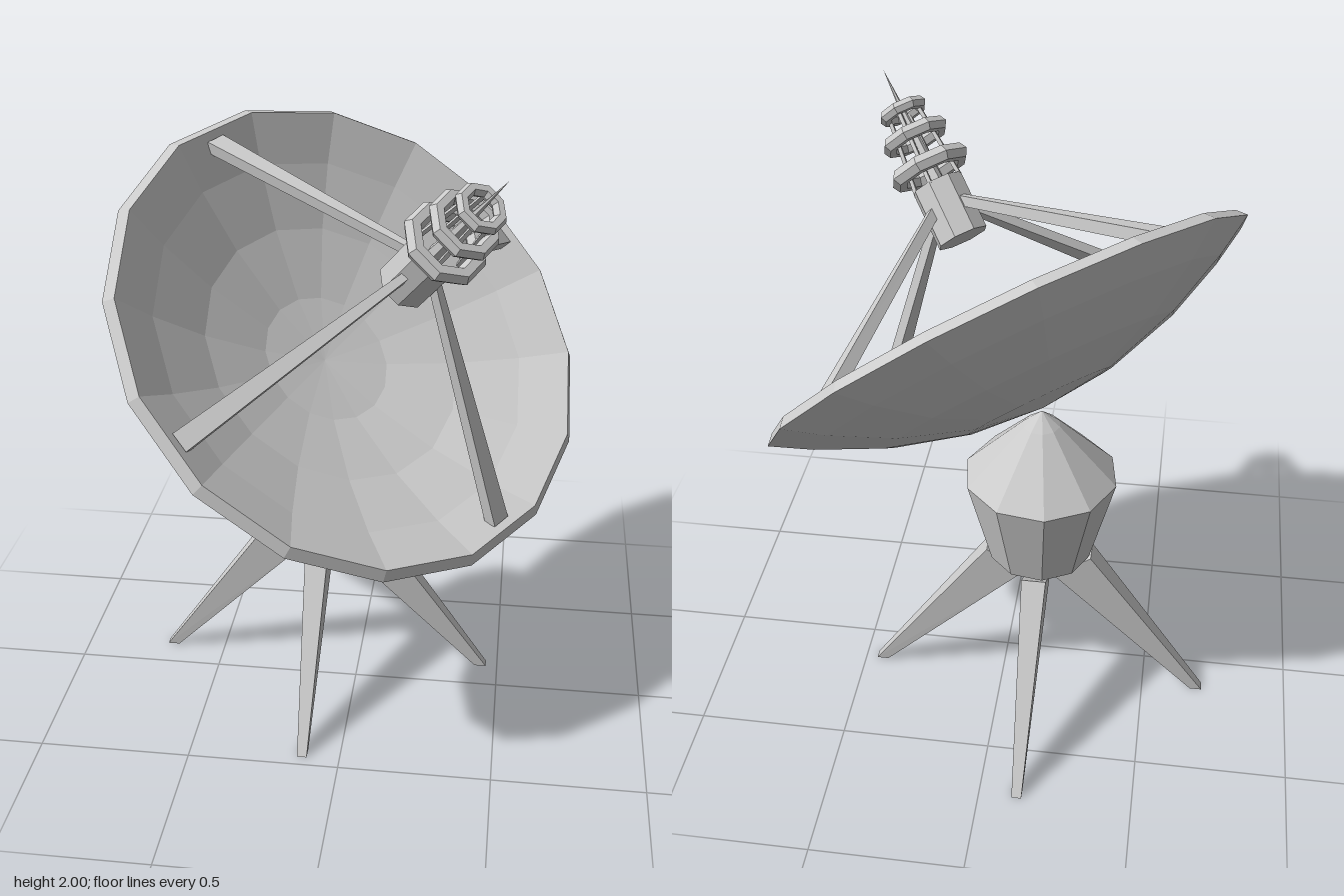
import * as THREE from 'three';

const material = new THREE.MeshStandardMaterial({ color: 0xcccccc, flatShading: true });

function add(parent, name, geometry) {
  const mesh = new THREE.Mesh(geometry, material);
  mesh.name = name;
  parent.add(mesh);
  return mesh;
}

function lathe(points, sides, start = 0) {
  return new THREE.LatheGeometry(points.map(([r, y]) => new THREE.Vector2(r, y)), sides, start);
}

// Tapered bar lying in the radial plane: each end gives its outer point, inner point and half width
function taperedBar(top, bottom) {
  const geometry = new THREE.BoxGeometry(1, 1, 1);
  const p = geometry.attributes.position;
  for (let i = 0; i < p.count; i++) {
    const end = p.getY(i) > 0 ? top : bottom;
    const [r, y] = p.getX(i) > 0 ? end.outer : end.inner;
    p.setXYZ(i, r, y, Math.sign(p.getZ(i)) * end.half);
  }
  geometry.computeVertexNormals();
  return geometry;
}

function createBase() {
  const base = new THREE.Group();
  base.name = 'base';
  base.position.set(-0.125, 0, -0.122);

  // Ten-sided housing with a conical top
  add(base, 'housing', lathe(
    [[0, 0.5], [0.05, 0.5], [0.17, 0.585], [0.25, 0.9], [0.06, 1.095], [0, 1.145]],
    10, Math.PI * 1.25));

  // Four splayed legs
  const leg = taperedBar(
    { outer: [0.175, 0.585], inner: [0.05, 0.5], half: 0.04 },
    { outer: [0.585, 0], inner: [0.545, 0], half: 0.016 });
  for (let i = 0; i < 4; i++) add(base, 'leg', leg).rotation.y = i * Math.PI / 2;
  return base;
}

function createFeed() {
  const feed = new THREE.Group();
  feed.name = 'feedAntenna';

  // Octagonal body
  const body = add(feed, 'feedBody', new THREE.CylinderGeometry(0.085, 0.085, 0.19, 8));
  body.position.y = 0.425;

  // Shrinking octagonal rings
  for (const [radius, tube, y] of [[0.108, 0.028, 0.577], [0.09, 0.024, 0.685], [0.062, 0.02, 0.775]]) {
    const ring = add(feed, 'feedRing', new THREE.TorusGeometry(radius, tube, 6, 8));
    ring.rotation.x = Math.PI / 2;
    ring.position.y = y;
  }

  // Thin rods carrying the rings
  for (let i = 0; i < 4; i++) {
    const rod = add(feed, 'ringRod', taperedBar(
      { outer: [0.056, 0.775], inner: [0.044, 0.775], half: 0.006 },
      { outer: [0.084, 0.515], inner: [0.072, 0.515], half: 0.006 }));
    rod.rotation.y = Math.PI / 4 + i * Math.PI / 2;
  }

  // Central spike
  const spike = add(feed, 'spike', new THREE.ConeGeometry(0.026, 0.423, 6));
  spike.position.y = 0.7115;
  return feed;
}

function createDish() {
  const dish = new THREE.Group();
  dish.name = 'dish';

  // Bowl: back, bevelled rim, then the inside
  const back = [0, 0.25, 0.5, 0.7, 0.822].map(r => [r, -0.26 + 0.25 * (r / 0.822) ** 2]);
  const inside = [0.795, 0.65, 0.45, 0.22, 0].map(r => [r, -0.235 + 0.255 * (r / 0.795) ** 2]);
  add(dish, 'bowl', lathe([...back, ...inside], 16));

  // Four struts holding the feed
  const strut = taperedBar(
    { outer: [0.07, 0.45], inner: [0.05, 0.425], half: 0.012 },
    { outer: [0.755, 0.01], inner: [0.73, -0.02], half: 0.033 });
  for (let i = 0; i < 4; i++) {
    add(dish, 'strut', strut).rotation.y = THREE.MathUtils.degToRad(12.5 + 90 * i);
  }
  dish.add(createFeed());

  // Aim the dish axis 45 degrees up, between +x and +z
  const h = Math.SQRT1_2;
  dish.quaternion.setFromRotationMatrix(new THREE.Matrix4().makeBasis(
    new THREE.Vector3(h, 0, -h),
    new THREE.Vector3(0.5, h, 0.5),
    new THREE.Vector3(0.5, -h, 0.5)));
  dish.position.y = 1.347;
  return dish;
}

export function createModel() {
  const model = new THREE.Group();
  model.name = 'satelliteDish';
  model.add(createBase(), createDish());
  return model;
}
